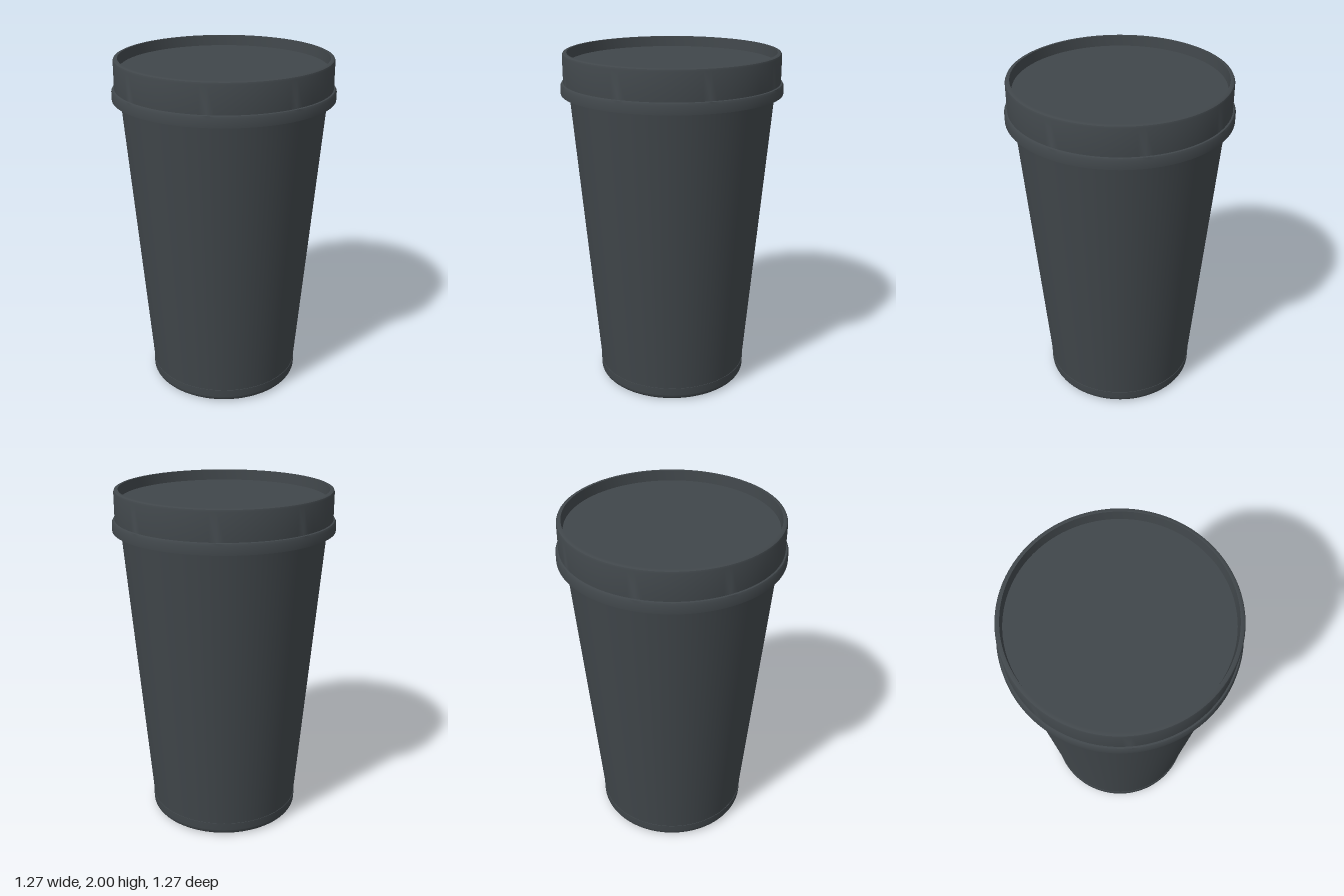
import * as THREE from 'three';
import { toCreasedNormals } from 'three/addons/utils/BufferGeometryUtils.js';

export function createModel() {
  const group = new THREE.Group();
  group.name = 'lidded cup';
  const charcoal = new THREE.MeshStandardMaterial({ color: 0x40464a });
  charcoal.name = 'charcoal plastic';

  // Revolve a [radius, height] profile, keeping its hard edges sharp
  function turned(name, profile) {
    const points = profile.map(([r, y]) => new THREE.Vector2(r, y));
    const geometry = toCreasedNormals(new THREE.LatheGeometry(points, 96), 0.5);
    const mesh = new THREE.Mesh(geometry, charcoal);
    mesh.name = name;
    group.add(mesh);
  }

  // Base: flat underside with a rounded bottom edge
  const base = [[0, 0], [0.413, 0]];
  for (let i = 1; i <= 8; i++) {
    const a = (i / 8) * Math.PI / 2;
    base.push([0.413 + 0.035 * Math.sin(a), 0.035 - 0.035 * Math.cos(a)]);
  }
  base.push([0.449, 0.08], [0.446, 0.08]);
  turned('base', base);

  // Tapered wall, running up inside the lid
  turned('wall', [[0.446, 0.08], [0.589, 1.82]]);

  // Lid: hollow skirt, stepped shoulder, bevelled rim and sunken top
  turned('lid', [
    [0.588, 1.81], [0.617, 1.81], [0.617, 1.77], [0.633, 1.77],
    [0.633, 1.817], [0.626, 1.83], [0.617, 1.832],
    [0.617, 1.986], [0.613, 1.996], [0.605, 2],
    [0.592, 2], [0.585, 1.94], [0, 1.94],
  ]);

  return group;
}
